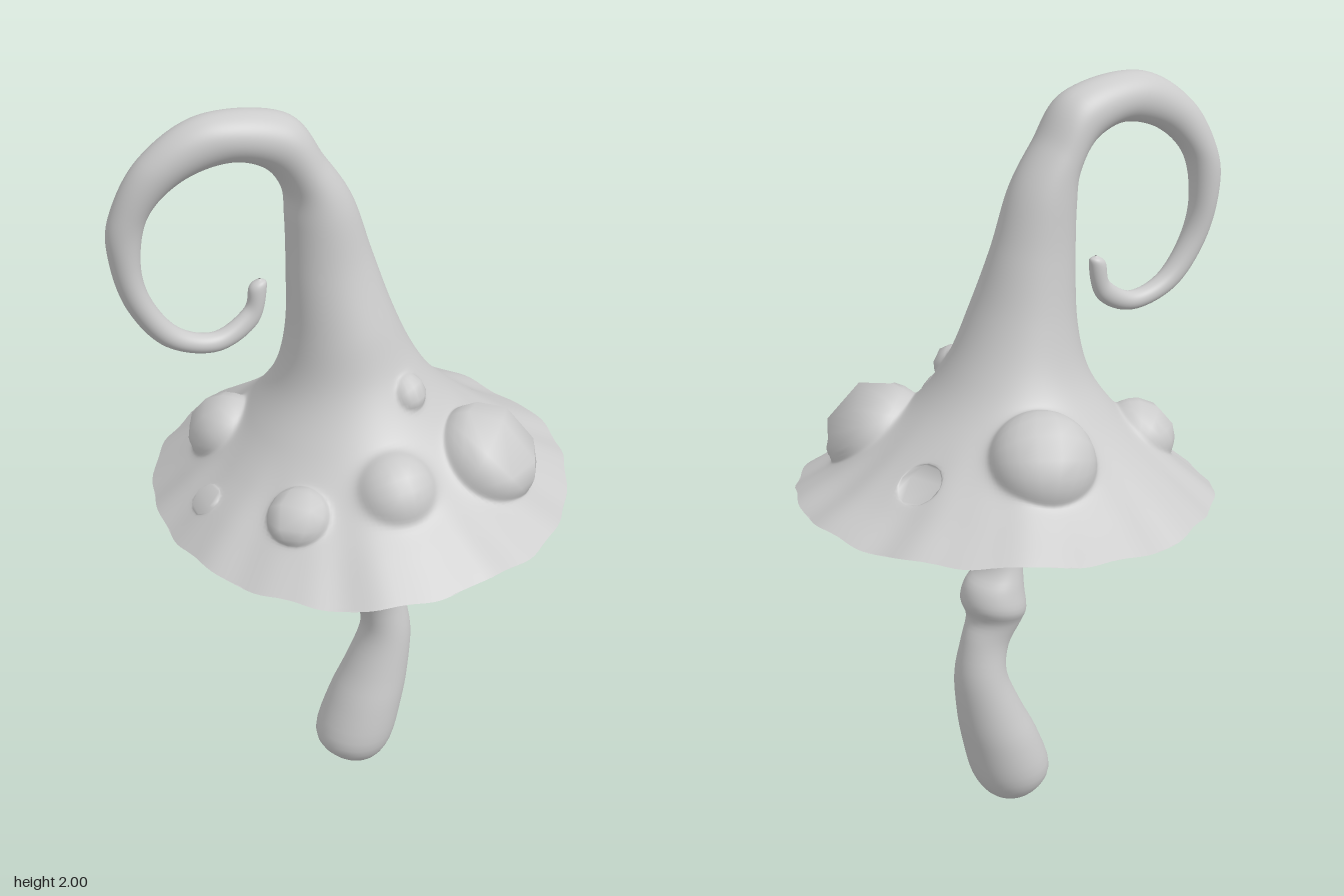
import * as THREE from 'three';

const material = new THREE.MeshStandardMaterial({ color: 0xcccccc, side: THREE.DoubleSide });

// Each ring: [left x, left y, right x, right y, centre z, half depth, front-to-back tilt]
const RIM = [-0.5, 0.92, 0.58, 0.98, 0, 0.555, 0.03];

const CAP = [
  RIM,
  [-0.42, 0.99, 0.47, 1.04, 0, 0.46, 0.025],
  [-0.33, 1.07, 0.36, 1.12, 0, 0.35, 0.02],
  [-0.25, 1.16, 0.25, 1.22, -0.005, 0.25, 0.01],
  [-0.18, 1.27, 0.18, 1.32, -0.01, 0.18, 0],
  [-0.15, 1.4, 0.12, 1.45, -0.01, 0.14, 0],
  [-0.145, 1.57, 0.07, 1.6, -0.02, 0.105, 0],
  [-0.145, 1.7, 0.02, 1.75, -0.025, 0.09, 0],
  [-0.15, 1.78, -0.05, 1.86, -0.03, 0.08, 0],
  [-0.2, 1.85, -0.14, 1.975, -0.035, 0.075, 0],
  [-0.29, 1.88, -0.35, 2.0, -0.045, 0.065, 0],
  [-0.4, 1.85, -0.5, 1.91, -0.065, 0.055, 0],
  [-0.48, 1.77, -0.575, 1.77, -0.085, 0.045, 0],
  [-0.505, 1.65, -0.58, 1.66, -0.088, 0.04, 0],
  [-0.485, 1.55, -0.545, 1.53, -0.08, 0.035, 0],
  [-0.42, 1.46, -0.46, 1.42, -0.07, 0.03, 0],
  [-0.33, 1.43, -0.33, 1.38, -0.06, 0.026, 0],
  [-0.25, 1.475, -0.22, 1.43, -0.06, 0.022, 0],
  [-0.235, 1.53, -0.19, 1.53, -0.06, 0.02, 0],
  [-0.21, 1.55, -0.205, 1.55, -0.06, 0.003, 0],
];

const STEM = [
  [0.02, 0.0, 0.03, 0.0, -0.007, 0.005, 0],
  [-0.04, 0.025, 0.09, 0.015, -0.007, 0.07, 0],
  [-0.08, 0.09, 0.135, 0.08, -0.007, 0.11, 0],
  [-0.04, 0.21, 0.165, 0.19, -0.007, 0.107, 0],
  [0.01, 0.31, 0.185, 0.29, -0.007, 0.092, 0],
  [0.055, 0.42, 0.195, 0.42, -0.006, 0.074, 0],
  [0.045, 0.5, 0.175, 0.53, -0.006, 0.062, 0],
  [0.005, 0.57, 0.155, 0.59, -0.006, 0.073, 0],
  [-0.005, 0.61, 0.168, 0.64, -0.006, 0.092, 0],
  [0, 0.67, 0.155, 0.69, -0.006, 0.082, 0],
  [0, 0.74, 0.11, 0.74, -0.006, 0.064, 0],
  [-0.01, 0.85, 0.08, 0.85, -0.005, 0.05, 0],
  [-0.018, 0.93, 0.065, 0.93, -0.005, 0.044, 0],
];

// Trumpet flare from the stem neck out to the rim
const UNDERSIDE = [
  [-0.025, 1.0, 0.075, 1.0, 0, 0.052, 0],
  [-0.07, 1.07, 0.11, 1.08, 0, 0.09, 0],
  [-0.17, 1.11, 0.2, 1.13, 0, 0.18, 0],
  [-0.31, 1.04, 0.34, 1.08, 0, 0.33, 0.02],
  [-0.42, 0.965, 0.47, 1.015, 0, 0.45, 0.025],
  RIM,
];

// Rounded warts swelling out of the cap: [x, y, z, radius]
const WARTS = [
  [0.265, 1.075, 0.25, 0.142],
  [-0.015, 1.07, 0.29, 0.105],
  [-0.25, 1.035, 0.24, 0.08],
  [0.125, 1.135, -0.27, 0.135],
  [0.38, 1.095, -0.11, 0.06],
  [-0.265, 1.075, -0.17, 0.1],
  [0.09, 1.26, 0.155, 0.05],
  [-0.4, 1.0, 0.01, 0.045],
];

// Push a cap point smoothly out of every wart sphere
function swell(point) {
  for (const [x, y, z, r] of WARTS) {
    const centre = new THREE.Vector3(x, y, z);
    const offset = point.clone().sub(centre);
    const d = offset.length();
    if (d < 2 * r) point.copy(centre).addScaledVector(offset, (d ** 8 + r ** 8) ** (1 / 8) / d);
  }
}

// Skin smoothly interpolated rings; wide rings get a wavy edge
function loft(name, rings, steps, sides, deform = () => {}) {
  const curve = (f) => new THREE.CatmullRomCurve3(rings.map(f), false, 'catmullrom', 0.5);
  const left = curve((r) => new THREE.Vector3(r[0], r[1], r[4]));
  const right = curve((r) => new THREE.Vector3(r[2], r[3], r[4]));
  const depth = curve((r) => new THREE.Vector3(r[5], r[6], 0));
  const rows = (rings.length - 1) * steps;
  const pos = [], index = [];
  for (let i = 0; i <= rows; i++) {
    const t = i / rows;
    const l = left.getPoint(t), r = right.getPoint(t), d = depth.getPoint(t);
    const mid = l.clone().add(r).multiplyScalar(0.5);
    const half = r.clone().sub(l).multiplyScalar(0.5);
    const wave = THREE.MathUtils.smoothstep(d.x, 0.25, 0.55);
    for (let j = 0; j < sides; j++) {
      const a = (j / sides) * Math.PI * 2;
      const grow = 1 + wave * (0.006 * Math.sin(7 * a + 1) + 0.005 * Math.sin(23 * a));
      const lift = wave * (0.006 * Math.sin(5 * a) + 0.005 * Math.sin(13 * a + 2));
      const c = Math.cos(a) * grow, s = Math.sin(a) * grow;
      const point = new THREE.Vector3(
        mid.x + half.x * c, mid.y + half.y * c - d.y * s + lift, mid.z + d.x * s);
      deform(point);
      pos.push(point.x, point.y, point.z);
      if (i < rows) {
        const p = i * sides + j, q = i * sides + ((j + 1) % sides);
        index.push(p, p + sides, q, q, p + sides, q + sides);
      }
    }
  }
  const geometry = new THREE.BufferGeometry();
  geometry.setAttribute('position', new THREE.Float32BufferAttribute(pos, 3));
  geometry.setIndex(index);
  geometry.computeVertexNormals();
  const mesh = new THREE.Mesh(geometry, material);
  mesh.name = name;
  return mesh;
}

export function createModel() {
  const model = new THREE.Group();
  model.name = 'mushroom';
  model.add(
    loft('curledCap', CAP, 10, 160, swell),
    loft('stemAndUnderside', [...STEM, ...UNDERSIDE], 4, 80),
  );
  return model;
}
